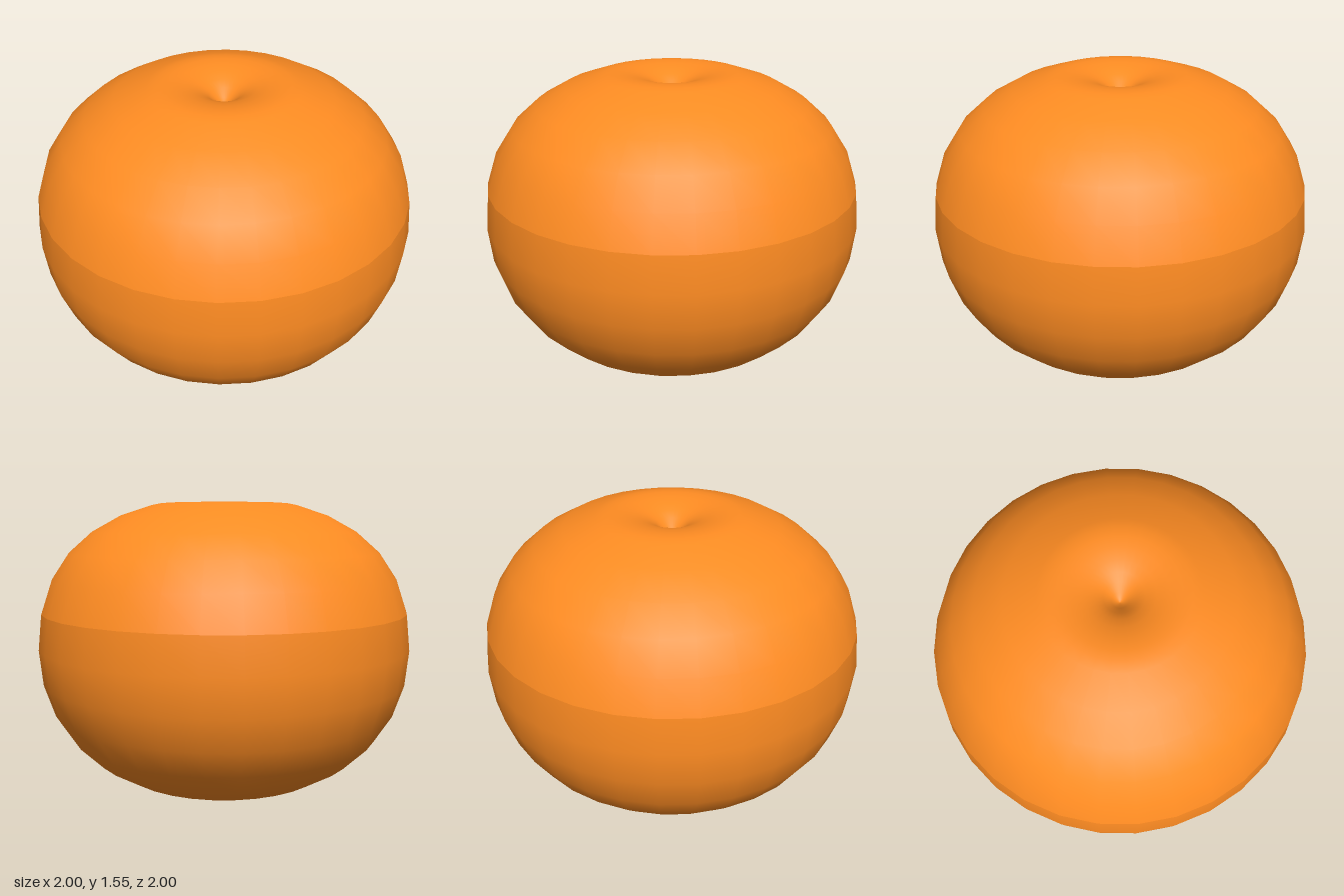
import * as THREE from 'three';

const SIDES = 32;

export function createModel() {
  const group = new THREE.Group();
  group.name = 'orange';
  const material = new THREE.MeshStandardMaterial({ color: 0xff8c22 });

  // Each half is a smooth turned profile, listed from bottom to top as [radius, height]
  const addHalf = (name, profile) => {
    const points = profile.map(([r, y]) => new THREE.Vector2(r, y));
    const mesh = new THREE.Mesh(new THREE.LatheGeometry(points, SIDES), material);
    mesh.name = name;
    group.add(mesh);
  };

  // Lower body, starting inside the broad bottom dimple
  addHalf('lowerBody', [
    [0, 0.13], [0.05, 0.125], [0.1, 0.1], [0.15, 0.062], [0.19, 0.03],
    [0.23, 0.01], [0.29, 0], [0.33, 0.01], [0.39, 0.03], [0.555, 0.085],
    [0.707, 0.175], [0.831, 0.295], [0.924, 0.44], [0.981, 0.61],
    [1, 0.795], [0.981, 0.98],
  ]);

  // Upper body, ending in the narrow stem dimple
  addHalf('upperBody', [
    [0.981, 0.98], [0.924, 1.15], [0.831, 1.29], [0.707, 1.4],
    [0.555, 1.485], [0.39, 1.54], [0.34, 1.55], [0.29, 1.553],
    [0.23, 1.547], [0.17, 1.533], [0.12, 1.513], [0.08, 1.488],
    [0.04, 1.453], [0.015, 1.433], [0, 1.428],
  ]);

  return group;
}
